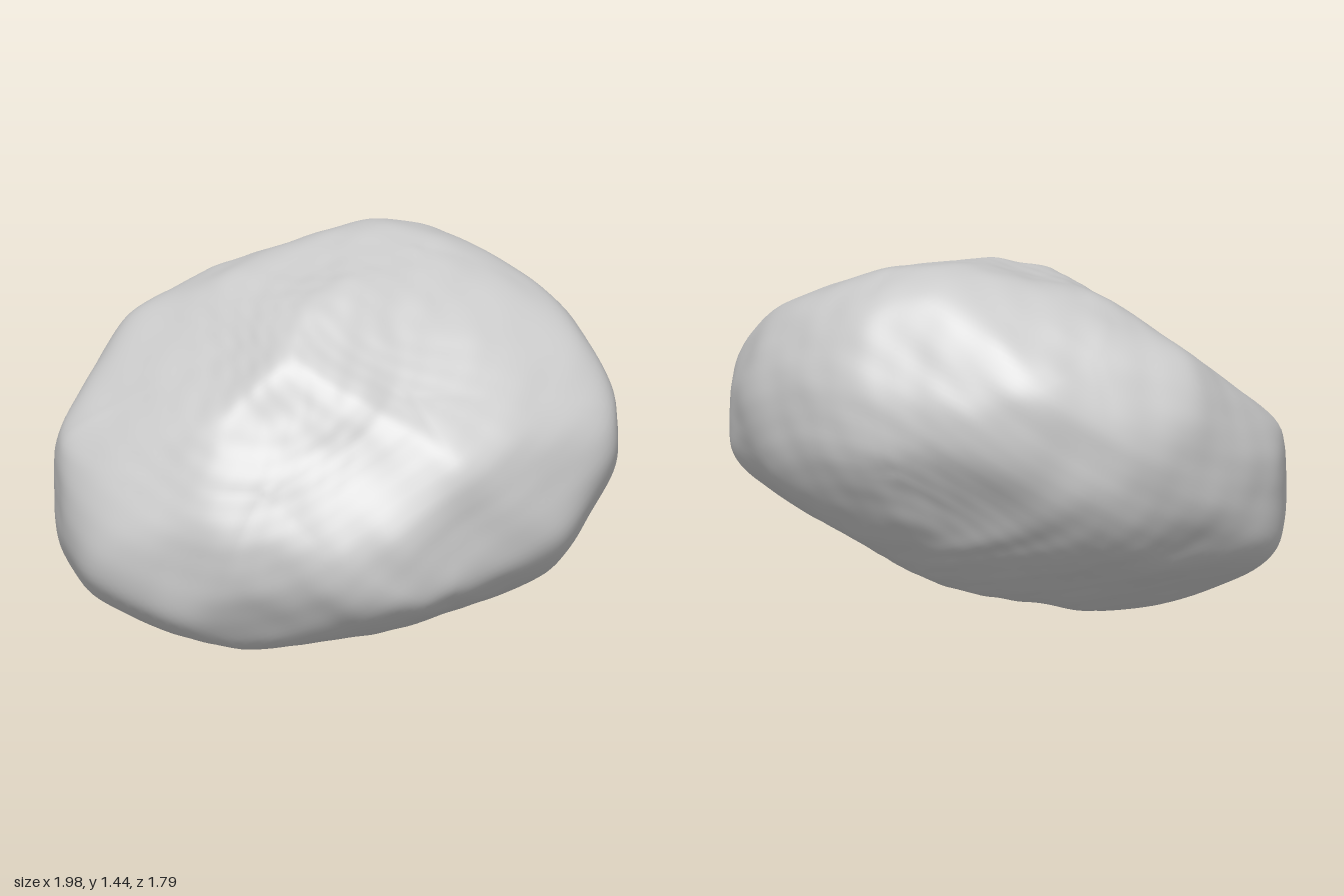
import * as THREE from 'three';
import { mergeVertices } from 'three/addons/utils/BufferGeometryUtils.js';

const V = (x, y, z) => new THREE.Vector3(x, y, z);
const X = V(1, 0, 0), Y = V(0, 1, 0), Z = V(0, 0, 1);

// Axes of a plane that is turned about the upright axis and then tipped
function tipped(azimuth, elevation) {
  const turn = new THREE.Euler(-THREE.MathUtils.degToRad(elevation), THREE.MathUtils.degToRad(azimuth), 0, 'YXZ');
  return [X.clone().applyEuler(turn), Y.clone().applyEuler(turn)];
}

// Facets worn around six belts: distances from the centre at equal angles
const belts = [
  [[X, Y], [1, 1.01, 0.99, 0.97, 0.9, 0.81, 0.72, 0.62, 0.6, 0.65, 0.78, 0.89,
    1, 1.05, 1.06, 1, 0.91, 0.81, 0.72, 0.63, 0.66, 0.78, 0.88, 0.95]],
  [[Z, Y], [0.9, 0.83, 0.78, 0.69, 0.64, 0.66, 0.72, 0.76, 0.78, 0.83, 0.87, 0.9,
    0.9, 0.87, 0.83, 0.79, 0.73, 0.73, 0.72, 0.72, 0.78, 0.85, 0.91, 0.92]],
  [[X, Z], [1, 1.04, 1.09, 1.1, 1.07, 0.98, 0.9, 0.79, 0.76, 0.74, 0.8, 0.91,
    1, 1.02, 1.03, 1.04, 0.99, 0.93, 0.9, 0.85, 0.84, 0.85, 0.92, 0.94]],
  [tipped(35, 25), [0.9, 0.88, 0.85, 0.72, 0.6, 0.68, 0.78, 0.83, 0.82, 0.78, 0.71, 0.81]],
  [tipped(215, 25), [0.78, 0.58, 0.57, 0.76, 0.95, 0.97, 0.89, 0.71, 0.69, 0.84, 0.98, 0.96]],
  [tipped(145, -25), [1.05, 0.91, 0.83, 0.88, 0.93, 1.03, 1.09, 1, 0.89, 0.84, 1.02, 1.08]],
];

// Tilted ellipsoid at the heart of the boulder, and its distance along a facet normal
const heart = new THREE.Matrix3().set(1, 0.2, 0.26, 0.2, 0.52, -0.12, 0.26, -0.12, 0.82);
const heartReach = (n) => Math.sqrt(n.dot(n.clone().applyMatrix3(heart)));

function facetPlanes() {
  const belted = belts.flatMap(([[u, v], distances]) => distances.map((target, k) => {
    const a = k * 2 * Math.PI / distances.length;
    const n = u.clone().multiplyScalar(Math.cos(a)).addScaledVector(v, Math.sin(a));
    return { n, target, h: target };
  }));
  // Facets between the belts blend the swelling of the belts nearby
  const between = Array.from({ length: 90 }, (_, i) => {
    const n = V(0, 0, 0).setFromSphericalCoords(Math.acos(1 - (2 * i + 1) / 90), i * 2.39996);
    let sum = 0, total = 0;
    for (const b of belted) {
      const w = Math.exp(25 * (n.dot(b.n) - 1));
      sum += w * b.target / heartReach(b.n);
      total += w;
    }
    const target = 1.01 * heartReach(n) * sum / total;
    return { n, target, h: target };
  });
  return [...belted, ...between];
}

// Shallow dents and bumps from a few warped sine octaves
function weathering(d) {
  let sum = 0, f = 5, amp = 0.007;
  for (let o = 0; o < 4; o++) {
    const x = d.x + 0.25 * Math.sin(3 * d.y + o);
    const y = d.y + 0.25 * Math.sin(3 * d.z + 2 * o);
    const z = d.z + 0.25 * Math.sin(3 * d.x + 3 * o);
    sum += amp * (Math.sin(f * x + o) * Math.sin(f * y + 2 * o) + 0.6 * Math.sin(f * (z + 0.6 * x) + o));
    f *= 1.9;
    amp *= 0.5;
  }
  return sum;
}

// Average each radius with those of its neighbours to wear down the edges
function wear(radii, index, rounds) {
  for (let round = 0; round < rounds; round++) {
    const sum = new Float32Array(radii.length), num = new Float32Array(radii.length);
    for (let i = 0; i < index.length; i++) {
      const a = index[i], b = index[i % 3 === 2 ? i - 2 : i + 1];
      sum[a] += radii[b];
      num[a]++;
    }
    radii = radii.map((r, i) => 0.4 * r + 0.6 * sum[i] / num[i]);
  }
  return radii;
}

function boulderGeometry() {
  const ball = new THREE.IcosahedronGeometry(1, 40);
  ball.deleteAttribute('uv');
  ball.deleteAttribute('normal');
  const geo = mergeVertices(ball, 1e-4);
  const pos = geo.attributes.position;
  const dirs = Array.from({ length: pos.count }, (_, i) => V(0, 0, 0).fromBufferAttribute(pos, i).normalize());
  const planes = facetPlanes();
  const inverse = heart.clone().invert();
  const core = dirs.map((d) => 1.1 / Math.sqrt(d.dot(d.clone().applyMatrix3(inverse))));
  const bumps = dirs.map(weathering);

  // Cut the facets and wear them, then shift each cut so the worn facet keeps its distance
  let radii;
  for (let pass = 0; pass < 6; pass++) {
    const cut = dirs.map((d, i) => planes.reduce((r, { n, h }) => {
      const t = n.dot(d);
      return t * r > h ? h / t : r;
    }, core[i]));
    radii = wear(cut, geo.index.array, 14).map((r, i) => r + bumps[i]);
    for (const p of planes) {
      const reach = dirs.reduce((m, d, i) => Math.max(m, radii[i] * p.n.dot(d)), 0);
      p.h = Math.min(p.h + 0.8 * (p.target - reach), 1.08 * p.target);
    }
  }
  dirs.forEach((d, i) => pos.setXYZ(i, d.x * radii[i], d.y * radii[i], d.z * radii[i]));

  // Rest on the ground
  geo.computeBoundingBox();
  geo.translate(0, -geo.boundingBox.min.y, 0);
  geo.computeVertexNormals();
  return geo;
}

export function createModel() {
  const group = new THREE.Group();
  group.name = 'rock';
  const boulder = new THREE.Mesh(boulderGeometry(), new THREE.MeshStandardMaterial({ color: 0xcccccc }));
  boulder.name = 'boulder';
  group.add(boulder);
  return group;
}
